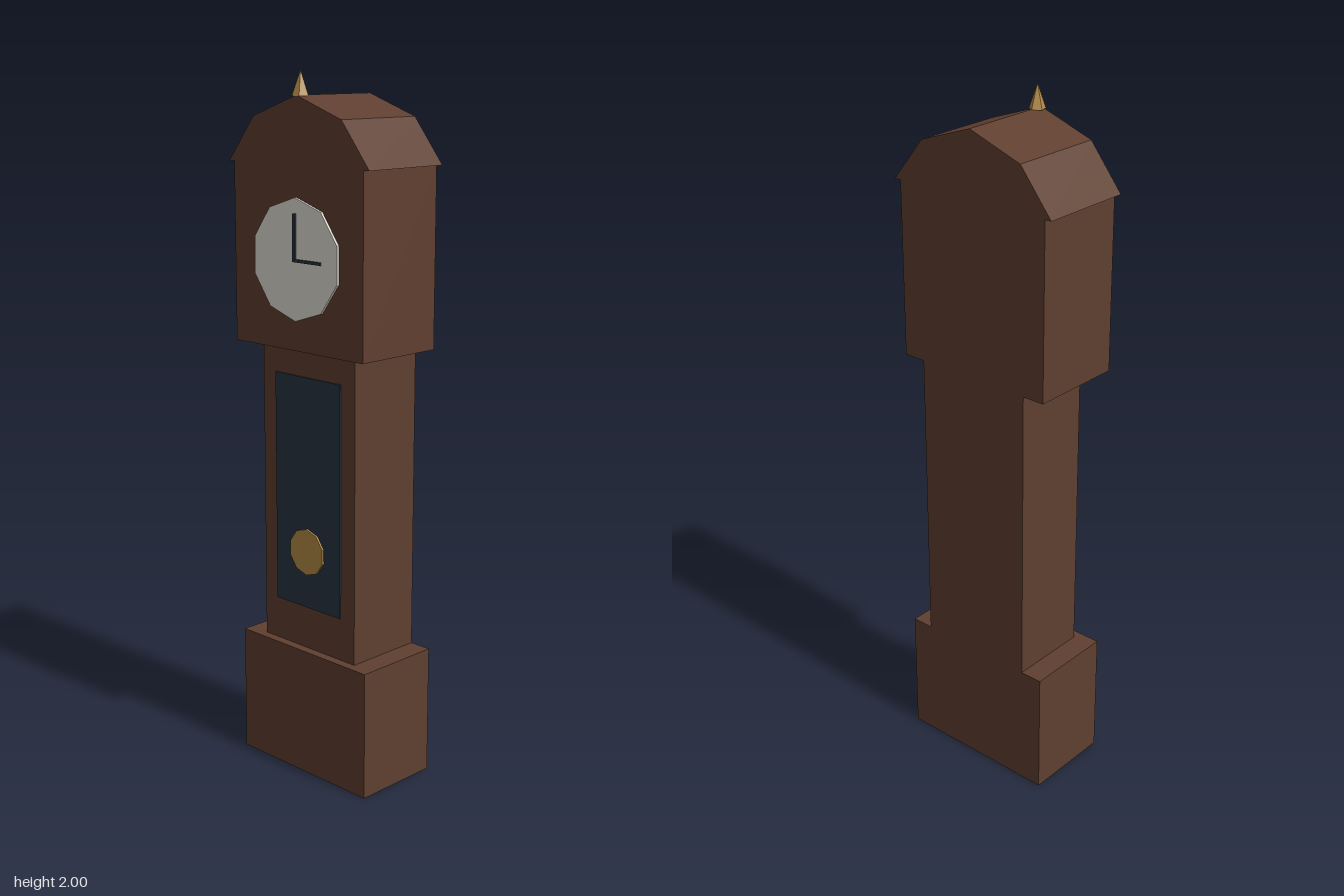
import * as THREE from 'three';

const BACK = -0.147;

export function createModel() {
  const group = new THREE.Group();
  group.name = 'longcaseClock';

  const colour = (name, color) => {
    const m = new THREE.MeshStandardMaterial({ color, flatShading: true });
    m.name = name;
    return m;
  };
  const wood = colour('darkWood', 0x5f3f30);
  const ivory = colour('ivoryDial', 0xe0dcd2);
  const brass = colour('brass', 0xb28b46);
  const dark = colour('darkGlass', 0x263340);

  const add = (name, geometry, material, x = 0, y = 0, z = 0) => {
    const mesh = new THREE.Mesh(geometry, material);
    mesh.name = name;
    mesh.position.set(x, y, z);
    group.add(mesh);
    return mesh;
  };
  // Box given by its limits
  const box = (name, material, x0, x1, y0, y1, z0, z1) =>
    add(name, new THREE.BoxGeometry(x1 - x0, y1 - y0, z1 - z0), material,
      (x0 + x1) / 2, (y0 + y1) / 2, (z0 + z1) / 2);
  // Flat disc facing the front, with one corner at the top
  const disc = (name, material, radius, sides, y, z0, z1) => {
    const g = new THREE.CylinderGeometry(radius, radius, z1 - z0, sides);
    g.rotateX(Math.PI / 2).rotateZ(Math.PI);
    return add(name, g, material, 0, y, (z0 + z1) / 2);
  };

  // Case
  box('base', wood, -0.247, 0.247, 0, 0.375, BACK, 0.12);
  box('trunk', wood, -0.18, 0.18, 0.375, 1.252, BACK, 0.093);
  box('hood', wood, -0.247, 0.247, 1.252, 1.753, BACK, 0.134);

  // Faceted arched roof, slightly wider than the hood
  const arch = new THREE.Shape([
    [-0.267, 1.753], [0.267, 1.753], [0.167, 1.877], [0, 1.935], [-0.167, 1.877],
  ].map(([x, y]) => new THREE.Vector2(x, y)));
  add('roof', new THREE.ExtrudeGeometry(arch, { depth: 0.134 - BACK, bevelEnabled: false }),
    wood, 0, 0, BACK);

  // Finial
  const finial = add('finial', new THREE.ConeGeometry(0.0235, 0.067, 5), brass, 0, 1.9665, 0.117);
  finial.rotation.y = Math.PI;

  // Dial and hands
  disc('dial', ivory, 0.167, 10, 1.502, 0.134, 0.1415);
  box('minuteHand', dark, -0.005, 0.005, 1.497, 1.627, 0.1415, 0.147);
  box('hourHand', dark, 0.005, 0.1, 1.497, 1.505, 0.1415, 0.147);

  // Trunk window and pendulum bob
  box('trunkWindow', dark, -0.127, 0.127, 0.5, 1.172, 0.093, 0.098);
  disc('pendulumBob', brass, 0.068, 10, 0.668, 0.098, 0.104);

  return group;
}
